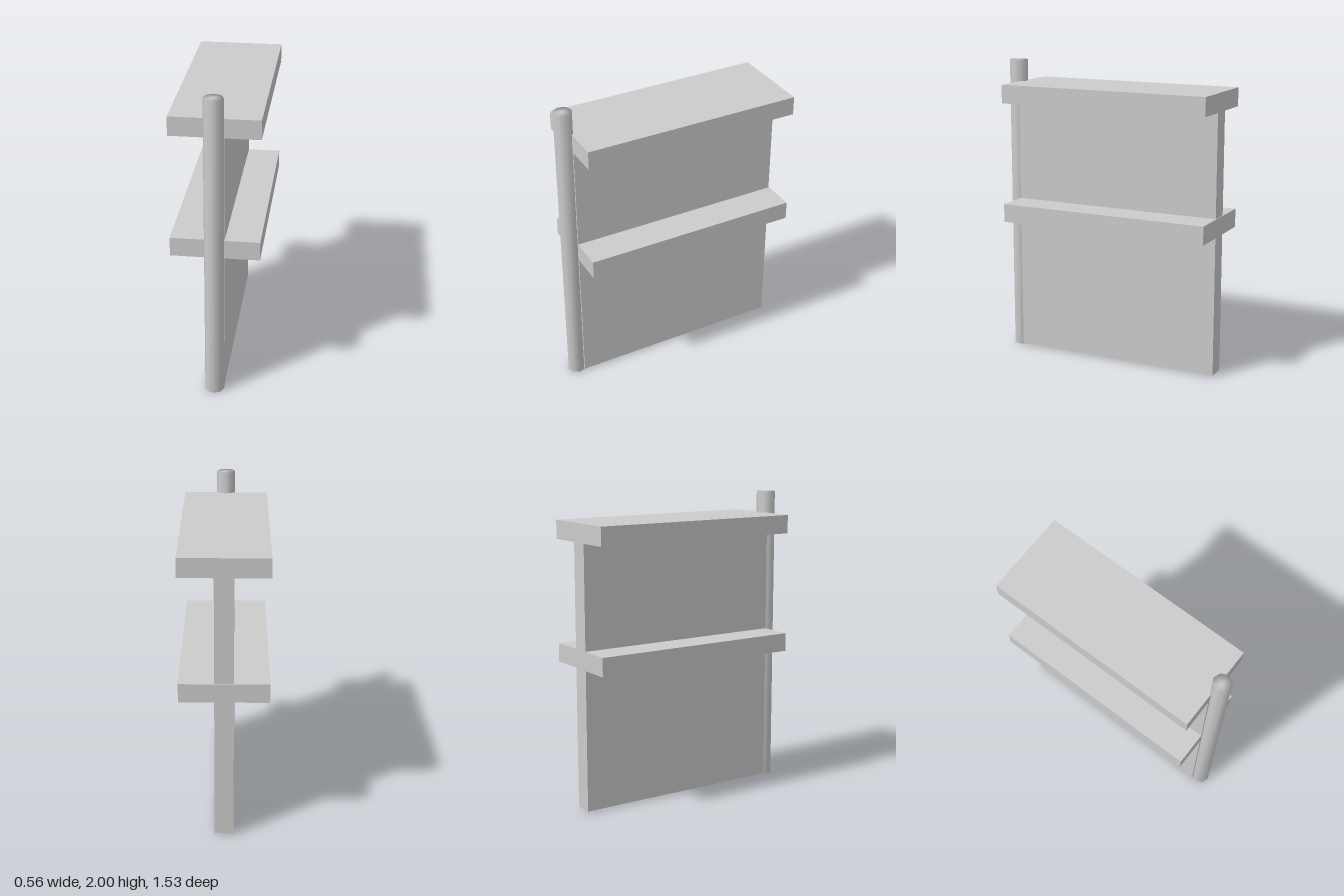
import * as THREE from 'three';
import { mergeVertices } from 'three/addons/utils/BufferGeometryUtils.js';

export function createModel() {
  const group = new THREE.Group();
  const material = new THREE.MeshStandardMaterial({ color: 0xcccccc });

  const add = (name, geometry, x, y, z) => {
    const mesh = new THREE.Mesh(geometry, material);
    mesh.name = name;
    mesh.position.set(x, y, z);
    group.add(mesh);
  };

  // Upright panel
  add('panel', new THREE.BoxGeometry(0.12, 1.77, 1.43), 0, 0.895, -0.045);

  // Two shelves crossing the panel
  const shelf = new THREE.BoxGeometry(0.56, 0.122, 1.435);
  add('middleShelf', shelf, 0, 0.998, -0.0475);
  add('topShelf', shelf, 0, 1.797, -0.0475);

  // Eight-sided front post, smooth shaded across its rims
  let post = new THREE.CylinderGeometry(0.062, 0.062, 2, 8);
  post.deleteAttribute('normal');
  post.deleteAttribute('uv');
  post = mergeVertices(post);
  post.computeVertexNormals();
  add('post', post, 0, 1, 0.703);

  return group;
}
